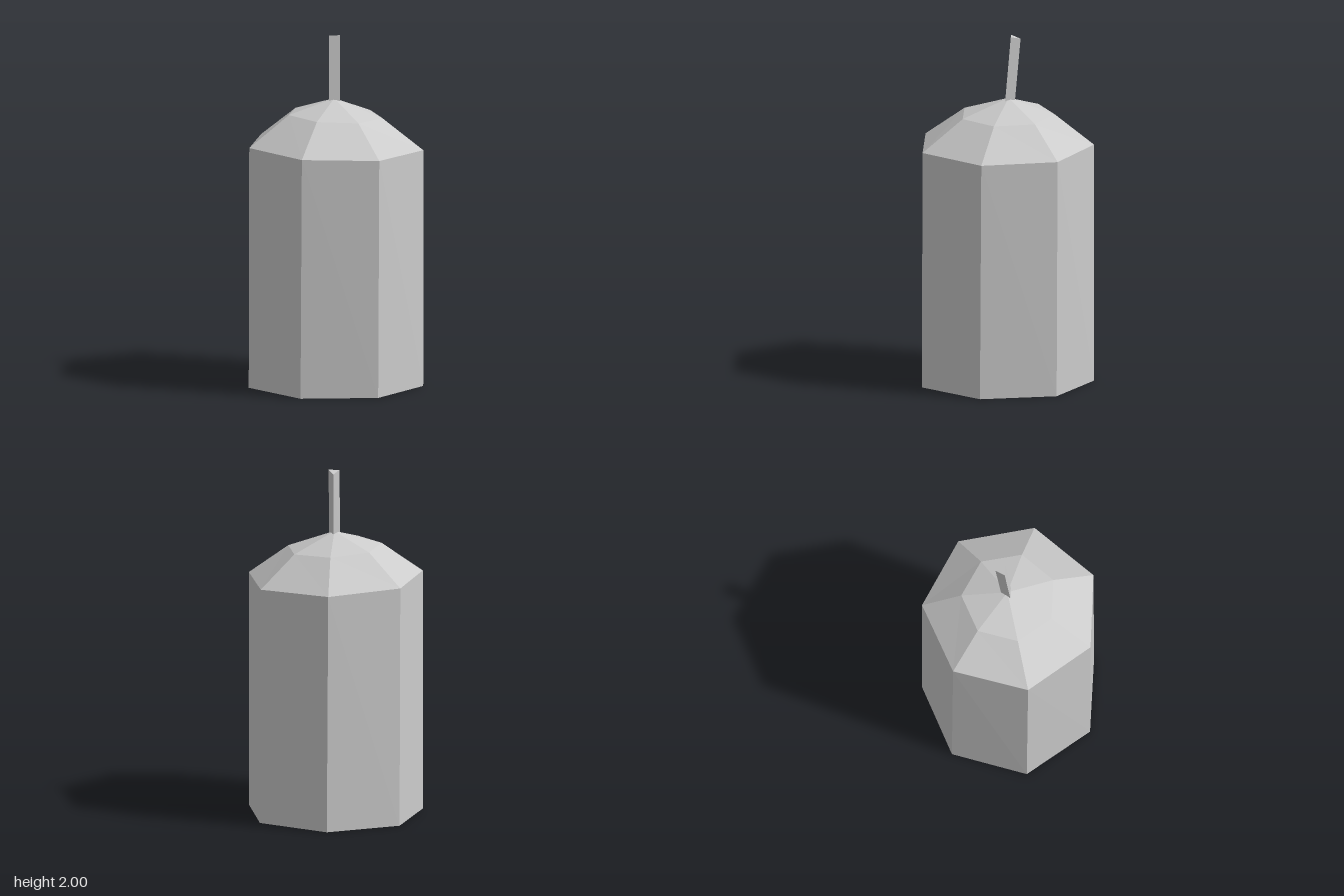
import * as THREE from 'three';

// Ring of n points starting at the back (-z); slopeX/slopeZ tilt the ring's plane.
function ring(n, { r, x = 0, y, z, turn = 0, slopeX = 0, slopeZ = 0 }) {
  return Array.from({ length: n }, (_, i) => {
    const t = (i / n) * Math.PI * 2 + turn;
    const dx = r * Math.sin(t), dz = -r * Math.cos(t);
    return new THREE.Vector3(x + dx, y + dx * slopeX + dz * slopeZ, z + dz);
  });
}

// Joins the optional bottom point, the rings and the optional top point into a faceted mesh.
function loft(name, rings, bottom, top) {
  const pts = [];
  const n = rings[0].length;
  const last = rings[rings.length - 1];
  for (let i = 0; i < n; i++) {
    const j = (i + 1) % n;
    for (let k = 0; k + 1 < rings.length; k++) {
      const lo = rings[k], hi = rings[k + 1];
      pts.push(lo[i], hi[i], hi[j], lo[i], hi[j], lo[j]);
    }
    if (bottom) pts.push(bottom, rings[0][i], rings[0][j]);
    if (top) pts.push(top, last[j], last[i]);
  }
  const geometry = new THREE.BufferGeometry().setFromPoints(pts);
  geometry.computeVertexNormals();
  const material = new THREE.MeshStandardMaterial({
    color: 0xcccccc, flatShading: true, side: THREE.DoubleSide,
  });
  const mesh = new THREE.Mesh(geometry, material);
  mesh.name = name;
  return mesh;
}

export function createModel() {
  const group = new THREE.Group();
  group.name = 'candle';

  // Seven-sided wax column with a slightly twisted, tilted rim
  const base = ring(7, { r: 0.508, x: -0.003, y: 0, z: 0.0225 });
  const rim = ring(7, { r: 0.507, x: -0.003, y: 1.372, z: 0.0225, turn: -0.015, slopeX: -0.026 });
  group.add(loft('waxColumn', [base, rim], new THREE.Vector3(-0.003, 0, 0.0225)));

  // Domed shoulder rising to a point
  const shoulder = ring(7, { r: 0.272, x: -0.002, y: 1.547, z: 0.01, turn: -0.008, slopeX: -0.045 });
  group.add(loft('waxDome', [rim, shoulder], null, new THREE.Vector3(-0.005, 1.64, 0)));

  // Three-sided wick leaning back
  const wickBase = ring(3, { r: 0.036, x: -0.004, y: 1.6, z: 0.002 });
  const wickTop = ring(3, { r: 0.036, x: -0.004, y: 1.995, z: -0.032, slopeZ: 0.28 });
  group.add(loft('wick', [wickBase, wickTop],
    new THREE.Vector3(-0.004, 1.6, 0.002), new THREE.Vector3(-0.004, 1.995, -0.032)));

  return group;
}
